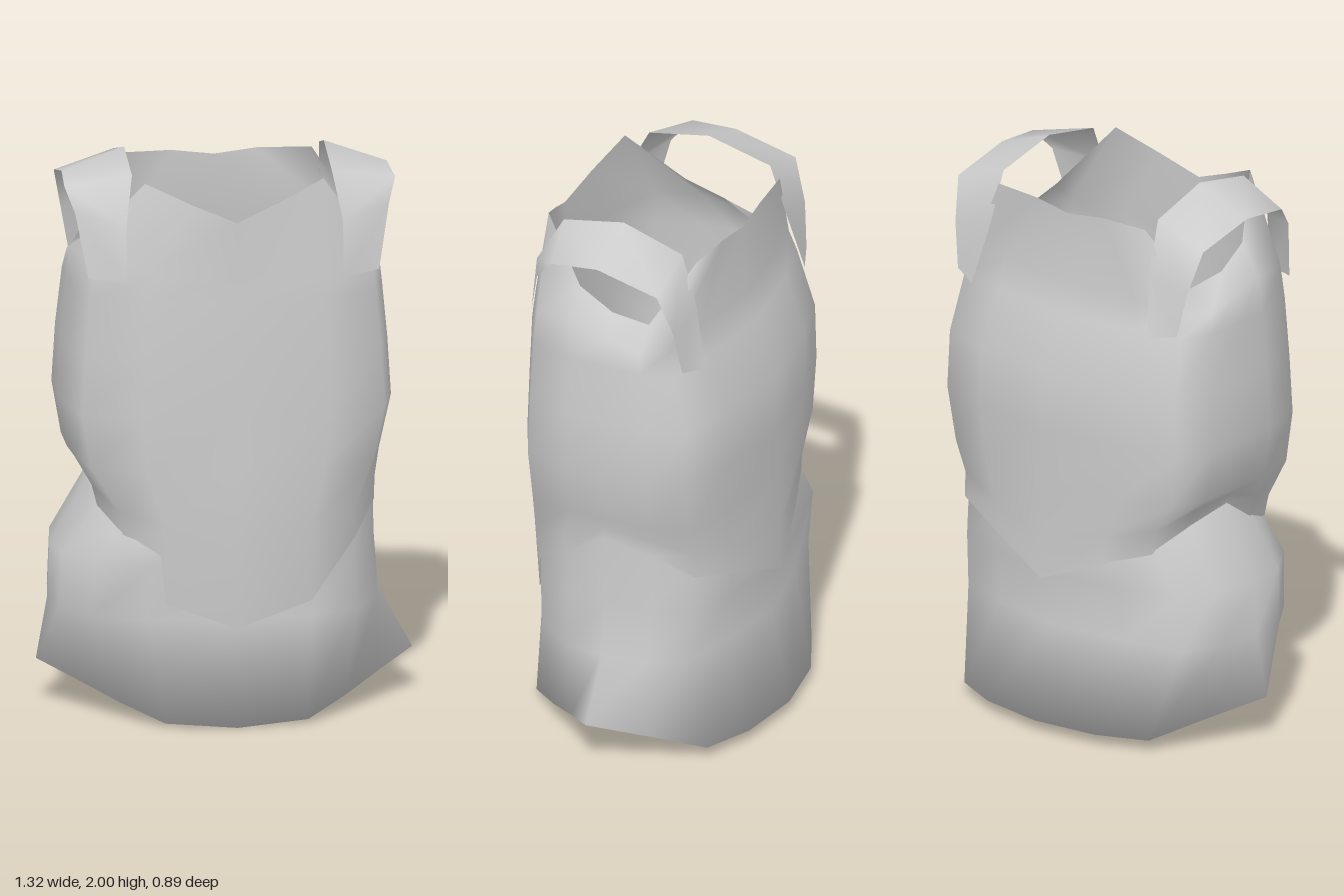
import * as THREE from 'three';
import { mergeVertices } from 'three/addons/utils/BufferGeometryUtils.js';

const cloth = new THREE.MeshStandardMaterial({ color: 0xcccccc, side: THREE.DoubleSide });
cloth.name = 'grey cloth';

// Half sections, from front centre round the side to back centre
const ROUND = [[0, 1], [0.5, 0.94], [0.8, 0.76], [0.96, 0.42], [1, 0.06], [0.97, -0.38], [0.86, -0.72], [0.5, -0.86], [0, -1]];
const BOXY = [[0, 1], [0.57, 0.95], [0.91, 0.73], [0.98, 0.35], [1, 0.03], [1, -0.4], [0.92, -0.74], [0.57, -0.88], [0, -1]];
const DIAMOND = [[0, 1], [0.38, 0.93], [0.6, 0.63], [0.8, 0.34], [1, 0.07], [0.82, -0.34], [0.65, -0.74], [0.38, -0.92], [0, -1]];
const NECK = [[0, 1], [0.33, 0.92], [0.68, 0.8], [0.94, 0.38], [1, 0.05], [0.92, -0.38], [0.74, -0.93], [0.33, -0.98], [0, -1]];
const FLAT = ROUND.map(() => 0);

// Row: section, y, width on +x, width on -x, front depth, back depth, height offsets
function ring({ shape = ROUND, y, w, wr = w, f, b, lift = FLAT }) {
  const pts = [];
  for (let k = 0; k < 16; k++) {
    const i = k <= 8 ? k : 16 - k;
    const [sx, sz] = shape[i];
    pts.push([sx * (k <= 8 ? w : -wr), y + lift[i], sz * (sz > 0 ? f : b)]);
  }
  return pts;
}

// Smooth surface through rows of points
function loft(rows, closed, flip = false) {
  const n = rows[0].length, index = [];
  for (let r = 0; r < rows.length - 1; r++) {
    for (let i = 0; i < (closed ? n : n - 1); i++) {
      const j = (i + 1) % n;
      const a = r * n + i, b = r * n + j, c = a + n, d = b + n;
      if (flip) index.push(a, d, b, a, c, d);
      else index.push(a, b, d, a, d, c);
    }
  }
  const g = new THREE.BufferGeometry();
  g.setAttribute('position', new THREE.Float32BufferAttribute(rows.flat(2), 3));
  g.setIndex(index);
  const merged = mergeVertices(g);
  merged.computeVertexNormals();
  return merged;
}

function part(name, geometry) {
  const mesh = new THREE.Mesh(geometry, cloth);
  mesh.name = name;
  return mesh;
}

export function createModel() {
  const model = new THREE.Group();
  model.name = 'sleevelessTunic';

  // Upper shell: pointed lower edge, arm openings and raised collar
  const hemLift = [-0.31, -0.22, -0.02, 0.08, 0.18, 0.14, 0.06, 0, -0.1];
  const waistLift = [-0.06, -0.04, 0, 0.06, 0.12, 0.1, 0.05, 0, -0.04];
  const armLift = [0, 0, 0.02, 0.03, 0, -0.03, -0.02, 0, 0];
  const collarLift = [0.12, 0.18, 0.25, 0.06, 0, -0.04, 0.2, 0.2, 0.18];
  model.add(part('torso', loft([
    { y: 0.66, w: 0.53, wr: 0.48, f: 0.418, b: 0.41, lift: hemLift },
    { y: 0.76, w: 0.53, wr: 0.5, f: 0.44, b: 0.405, lift: waistLift },
    { shape: BOXY, y: 0.92, w: 0.54, wr: 0.55, f: 0.43, b: 0.4 },
    { shape: BOXY, y: 1.11, w: 0.583, f: 0.43, b: 0.4 },
    { shape: BOXY, y: 1.32, w: 0.57, f: 0.425, b: 0.4 },
    { shape: BOXY, y: 1.53, w: 0.55, f: 0.42, b: 0.32 },
    { shape: BOXY, y: 1.63, w: 0.535, f: 0.41, b: 0.285, lift: armLift },
    { shape: NECK, y: 1.7, w: 0.46, f: 0.42, b: 0.265, lift: collarLift },
  ].map(ring), true)));

  // Flared skirt with a diamond hem and raised side points, closed below by a ridge
  const skirtLift = [0, 0.015, 0.06, 0.11, 0.16, 0.1, 0.04, 0.04, 0.04];
  const topLift = [-0.08, -0.06, 0, 0.06, 0.14, 0.12, 0.06, 0, -0.04];
  model.add(part('skirt', loft([
    { shape: DIAMOND, y: 0.15, w: 0.6, f: 0, b: 0 },
    { shape: DIAMOND, y: 0, w: 0.66, f: 0.443, b: 0.443, lift: skirtLift },
    { y: 0.38, w: 0.54, wr: 0.62, f: 0.405, b: 0.37 },
    { y: 0.58, w: 0.525, wr: 0.61, f: 0.415, b: 0.4 },
    { y: 0.72, w: 0.52, wr: 0.455, f: 0.42, b: 0.39, lift: topLift },
  ].map(ring), true)));

  // Shoulder straps: inner and outer edge from front foot over to back foot
  const strap = [
    [[0.38, 1.6, 0.37], [0.51, 1.61, 0.32]],
    [[0.38, 1.8, 0.35], [0.55, 1.83, 0.27]],
    [[0.35, 1.96, 0.26], [0.58, 1.91, 0.2]],
    [[0.35, 2.0, 0.03], [0.57, 1.92, 0.03]],
    [[0.36, 1.93, -0.2], [0.57, 1.86, -0.2]],
    [[0.37, 1.74, -0.26], [0.54, 1.71, -0.25]],
    [[0.41, 1.53, -0.31], [0.51, 1.55, -0.27]],
  ];
  for (const s of [1, -1]) {
    const rows = strap.map((row) => row.map(([x, y, z]) => [s * x, y, z]));
    model.add(part(s > 0 ? 'leftStrap' : 'rightStrap', loft(rows, false, s < 0)));
  }
  return model;
}
